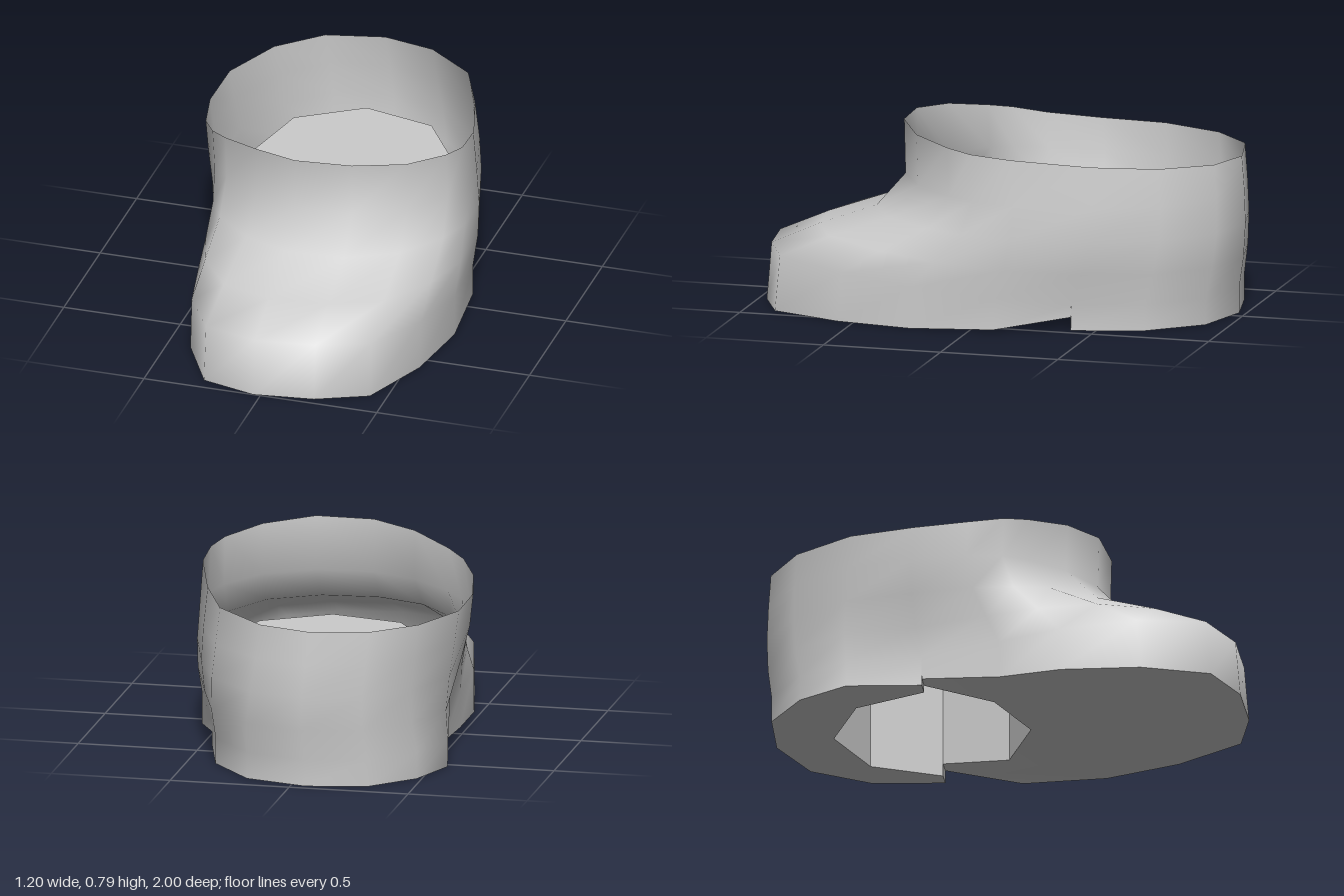
import * as THREE from 'three';
import { mergeVertices } from 'three/addons/utils/BufferGeometryUtils.js';

// Footprint of the sole [x, z], from the toe round the left side
const SOLE = [
  [-0.03, 1], [0.22, 0.965], [0.43, 0.87], [0.55, 0.57], [0.6, 0.25], [0.57, -0.1],
  [0.46, -0.4], [0.38, -0.69], [0.2, -0.9], [-0.06, -0.97], [-0.31, -0.92], [-0.48, -0.75],
  [-0.56, -0.53], [-0.48, -0.23], [-0.47, 0.1], [-0.47, 0.36], [-0.4, 0.68], [-0.26, 0.94],
];
// Ankle rim [x, y, z], matching the sole point by point
const RIM = [
  [-0.04, 0.782, 0.4], [0.2, 0.787, 0.385], [0.4, 0.77, 0.275], [0.52, 0.75, 0.11],
  [0.555, 0.735, 0], [0.55, 0.72, -0.17], [0.46, 0.69, -0.48], [0.35, 0.675, -0.74],
  [0.14, 0.66, -0.92], [-0.08, 0.655, -0.975], [-0.32, 0.655, -0.92], [-0.49, 0.655, -0.76],
  [-0.6, 0.655, -0.5], [-0.6, 0.66, -0.23], [-0.55, 0.68, -0.01], [-0.48, 0.71, 0.12],
  [-0.4, 0.73, 0.2], [-0.23, 0.765, 0.32],
];
// Rings between sole and rim: share of the sole outline, height at back and at toe,
// and how far the heel leans out of line
const RINGS = [
  { share: 0.965, back: 0.11, toe: 0.24, lean: 0 },
  { share: 0.62, back: 0.24, toe: 0.33, lean: 0.02 },
  { share: 0.2, back: 0.38, toe: 0.42, lean: 0.025 },
  { share: -0.01, back: 0.52, toe: 0.56, lean: 0.015 },
];
// Eight-sided socket, starting at the left end of the heel step
const SOCKET = [
  [0.39, -0.39], [0.33, -0.09], [0.06, 0.08], [-0.24, 0.01],
  [-0.41, -0.24], [-0.34, -0.55], [-0.08, -0.72], [0.22, -0.65],
];
const SOCKET_TOP = 0.455;
const FRONT = [13, 14, 15, 16, 17, 0, 1, 2, 3, 4, 5, 6];
const HEEL = [6, 7, 8, 9, 10, 11, 12, 13];

// The front sole lifts slightly towards the heel step
const arch = (z) => Math.max(0, 0.16 * (-0.05 - z));
const flat = () => 0;

function fromTriangles(points, index) {
  const g = new THREE.BufferGeometry();
  g.setAttribute('position', new THREE.Float32BufferAttribute(points.flat(), 3));
  g.setIndex(index);
  return g;
}

// Loft adjoining columns of points into a skin
function loft(columns) {
  const n = columns[0].length;
  const index = [];
  for (let i = 0; i < columns.length - 1; i++) {
    for (let r = 0; r < n - 1; r++) {
      const a = i * n + r, b = a + n;
      index.push(a, b, b + 1, a, b + 1, a + 1);
    }
  }
  return { points: columns.flat(), index };
}

// One column of the upper, from the sole edge to the rim
function column(i, baseHeight) {
  const [sx, sz] = SOLE[i];
  const [rx, ry, rz] = RIM[i];
  const forward = THREE.MathUtils.clamp((sz + 0.4) / 1.35, 0, 1);
  const rings = RINGS.map(({ share, back, toe, lean }) => {
    const shift = lean * (1 - forward);
    return [
      THREE.MathUtils.lerp(rx, sx, share) + shift,
      THREE.MathUtils.lerp(back, toe, forward),
      THREE.MathUtils.lerp(rz, sz, share) - shift,
    ];
  });
  return [[sx, baseHeight(sz), sz], ...rings, [rx, ry, rz]];
}

// Flat outline in x and z, lifted by a height rule
function plate(outline, height) {
  const g = new THREE.ShapeGeometry(new THREE.Shape(outline.map(([x, z]) => new THREE.Vector2(x, -z))));
  g.rotateX(-Math.PI / 2);
  const p = g.attributes.position;
  for (let i = 0; i < p.count; i++) p.setY(i, height(p.getZ(i)));
  g.computeVertexNormals();
  return g;
}

// Upright flat panel between two [x, z] points
function panel(a, b, low, high) {
  return [
    [a[0], low(a[1]), a[1]], [b[0], low(b[1]), b[1]],
    [b[0], high(b[1]), b[1]], [a[0], high(a[1]), a[1]],
  ];
}

function panels(list) {
  const index = list.flatMap((_, i) => [0, 1, 2, 0, 2, 3].map((k) => k + 4 * i));
  const g = fromTriangles(list.flat(), index);
  g.computeVertexNormals();
  return g;
}

export function createModel() {
  const model = new THREE.Group();
  model.name = 'boot';
  const material = new THREE.MeshStandardMaterial({ color: 0xcccccc, side: THREE.DoubleSide });
  const add = (name, geometry) => {
    const mesh = new THREE.Mesh(geometry, material);
    mesh.name = name;
    model.add(mesh);
  };

  // Smooth upper, open at the ankle
  const front = loft(FRONT.map((i) => column(i, arch)));
  const heel = loft(HEEL.map((i) => column(i, flat)));
  const offset = front.points.length;
  const upper = mergeVertices(fromTriangles(
    [...front.points, ...heel.points],
    [...front.index, ...heel.index.map((k) => k + offset)],
  ));
  upper.computeVertexNormals();
  add('upper', upper);

  // Sole in two plates around the socket
  const frontEdge = SOCKET.slice(0, 5);
  const heelEdge = [...SOCKET.slice(4), SOCKET[0]];
  add('frontSole', plate([...FRONT.map((i) => SOLE[i]), ...frontEdge], arch));
  add('heelSole', plate([...HEEL.map((i) => SOLE[i]), ...heelEdge], flat));

  // Small step where the heel begins
  add('heelStep', panels([
    panel(SOCKET[0], SOLE[6], flat, arch),
    panel(SOLE[13], SOCKET[4], flat, arch),
  ]));

  // Socket rising from the sole, closed on top
  const top = () => SOCKET_TOP;
  add('socketWall', panels(SOCKET.map((p, i) =>
    panel(SOCKET[(i + 1) % 8], p, i < 4 ? arch : flat, top))));
  add('socketTop', plate(SOCKET, top));

  return model;
}
